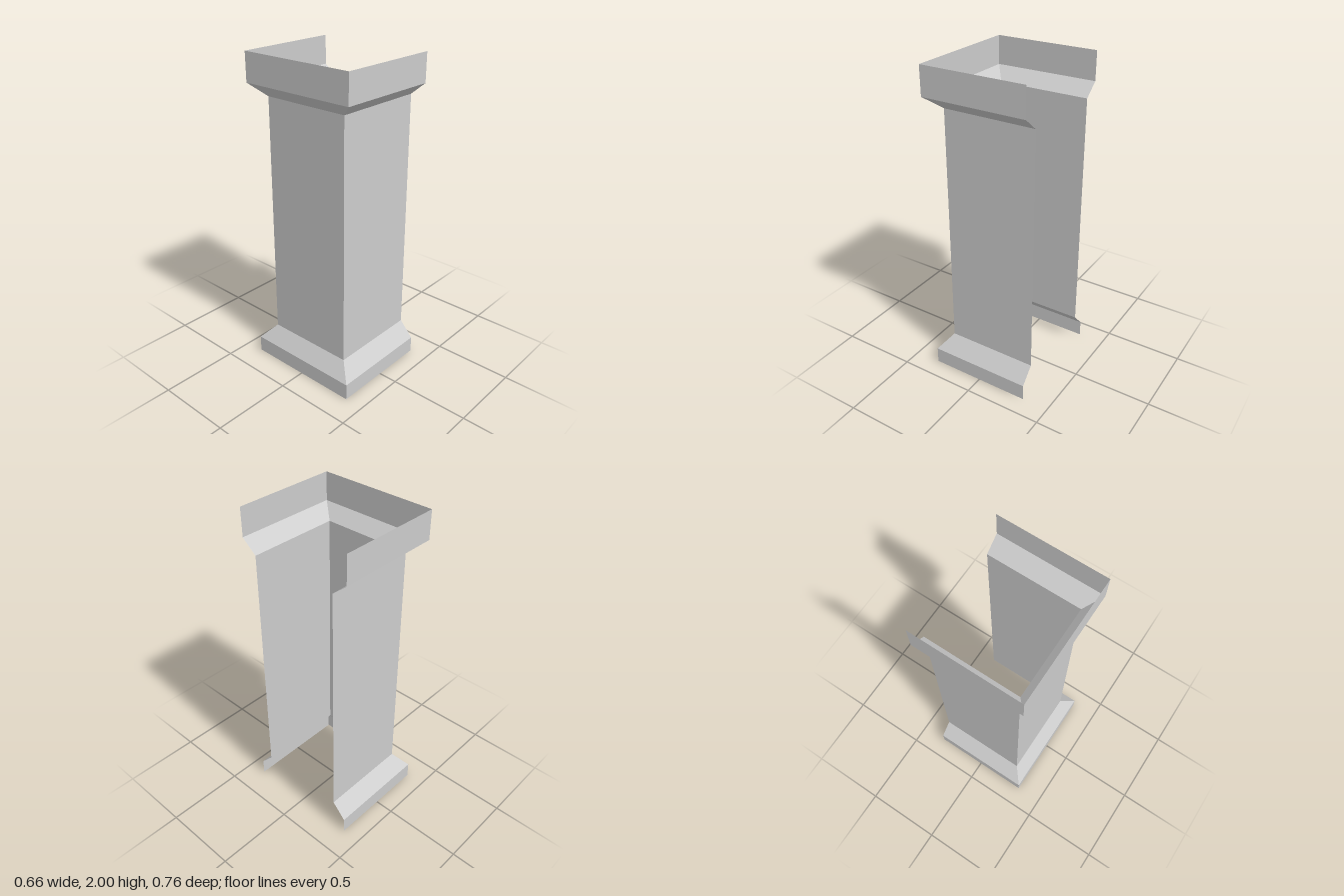
import * as THREE from 'three';

const OPEN_X = 0.33; // the shell is open on its +x side

// Three-sided outline of the shell at one height
const outline = ({ y, x, z, skew = 0 }) => [
  [OPEN_X, y, z + skew], [x, y, z + skew], [x, y, -z + skew], [OPEN_X, y, -z + skew],
];

// Flat-faced band joining two outlines, front faces outward
function band(name, lower, upper, material) {
  const lo = outline(lower), hi = outline(upper), points = [];
  for (let i = 0; i < 3; i++) {
    points.push(lo[i + 1], lo[i], hi[i], lo[i + 1], hi[i], hi[i + 1]);
  }
  const geometry = new THREE.BufferGeometry();
  geometry.setAttribute('position', new THREE.Float32BufferAttribute(points.flat(), 3));
  geometry.computeVertexNormals();
  const mesh = new THREE.Mesh(geometry, material);
  mesh.name = name;
  return mesh;
}

export function createModel() {
  const group = new THREE.Group();
  group.name = 'pillarCasing';
  const material = new THREE.MeshStandardMaterial({
    color: 0xcccccc, flatShading: true, side: THREE.DoubleSide,
  });

  // Profile from the ground up: wall position on -x and half depth
  const levels = [
    { y: 0, x: -0.331, z: 0.379 },
    { y: 0.105, x: -0.331, z: 0.379 },
    { y: 0.203, x: -0.254, z: 0.289 },
    { y: 1.745, x: -0.254, z: 0.285, skew: -0.001 },
    { y: 1.822, x: -0.331, z: 0.379 },
    { y: 2, x: -0.331, z: 0.379 },
  ];
  const names = ['basePlinth', 'baseSlope', 'shaft', 'capitalSlope', 'capitalBand'];
  names.forEach((name, i) => group.add(band(name, levels[i], levels[i + 1], material)));
  return group;
}
